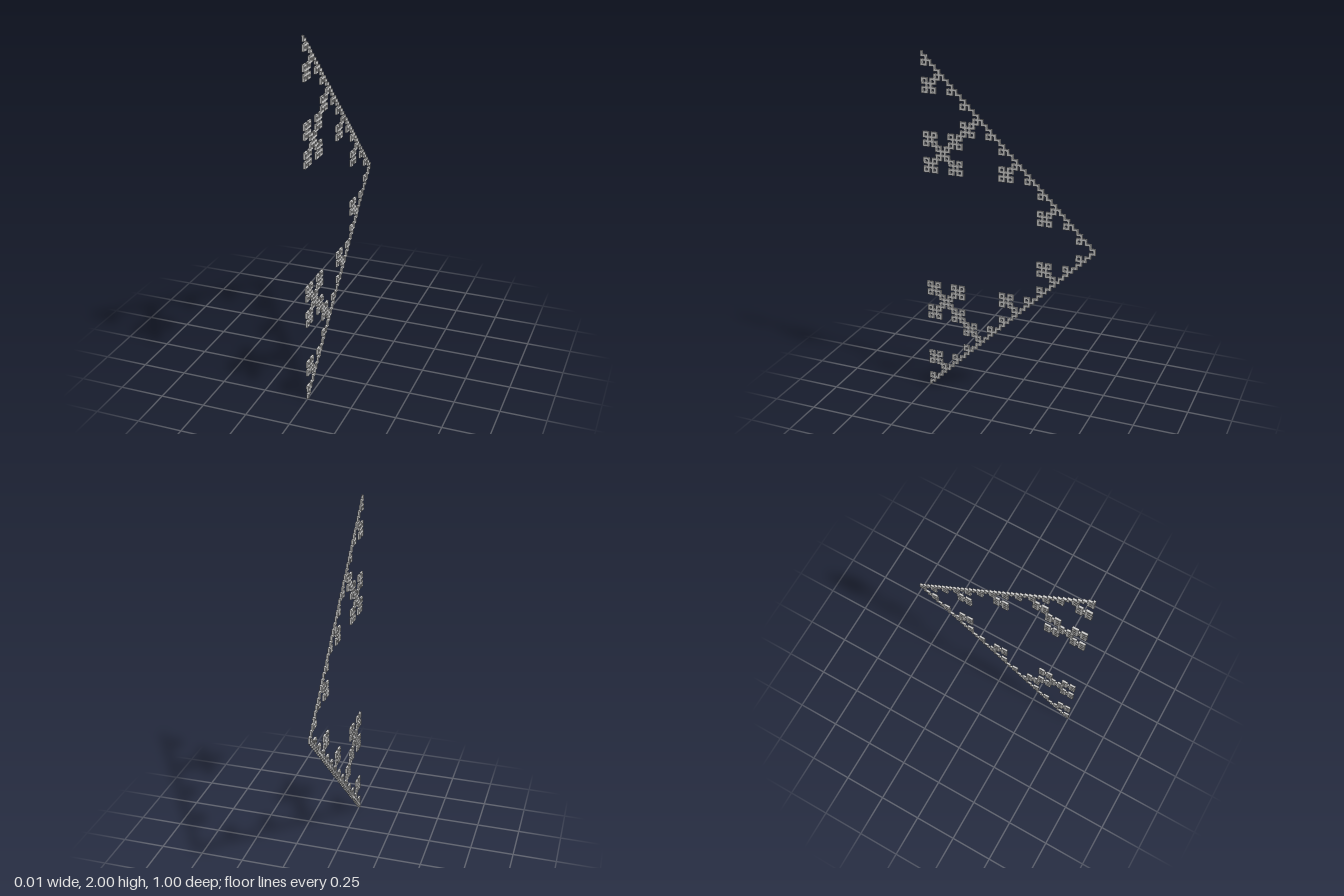
import * as THREE from 'three';
import { mergeGeometries } from 'three/addons/utils/BufferGeometryUtils.js';

const LEVELS = 4;
const UNIT = 2 / 3 ** LEVELS; // length of one step of the curve
const T = UNIT / 2;           // thickness of the square bar

// Cells (in half steps) covered by the right-angled fractal curve
function traceCells() {
  let path = 'F';
  for (let i = 0; i < LEVELS; i++) path = path.replaceAll('F', 'F+F-F-F+F');
  const cells = new Map();
  let a = 0, b = 0, da = 1, db = 0;
  const mark = () => cells.set(`${a},${b}`, [a, b]);
  mark();
  for (const c of path) {
    if (c === '+') [da, db] = [-db, da];
    else if (c === '-') [da, db] = [db, -da];
    else for (let k = 0; k < 2; k++) { a += da; b += db; mark(); }
  }
  return cells;
}

export function createModel() {
  const group = new THREE.Group();
  const cells = traceCells();
  const faces = [];

  const addFace = (w, h, rx, ry, x, y, z) => {
    const g = new THREE.PlaneGeometry(w, h);
    g.rotateX(rx).rotateY(ry).translate(x, y, z);
    faces.push(g);
  };

  for (const [a, b] of cells.values()) {
    // the two free ends are cut flush
    const y0 = Math.max(0, a * T - T / 2), y1 = Math.min(2, a * T + T / 2);
    const y = (y0 + y1) / 2, h = y1 - y0;
    const z = 0.5 - T / 2 - b * T;
    const open = (i, j) => !cells.has(`${a + i},${b + j}`);

    // broad sides
    addFace(T, h, 0, Math.PI / 2, T / 2, y, z);
    addFace(T, h, 0, -Math.PI / 2, -T / 2, y, z);
    // edges, only where no neighbouring cell joins on
    if (open(1, 0)) addFace(T, T, -Math.PI / 2, 0, 0, y1, z);
    if (open(-1, 0)) addFace(T, T, Math.PI / 2, 0, 0, y0, z);
    if (open(0, -1)) addFace(T, h, 0, 0, 0, y, z + T / 2);
    if (open(0, 1)) addFace(T, h, 0, Math.PI, 0, y, z - T / 2);
  }

  const curve = new THREE.Mesh(
    mergeGeometries(faces),
    new THREE.MeshStandardMaterial({ color: 0xcccccc, flatShading: true })
  );
  curve.name = 'fractalCurve';
  group.add(curve);
  return group;
}
